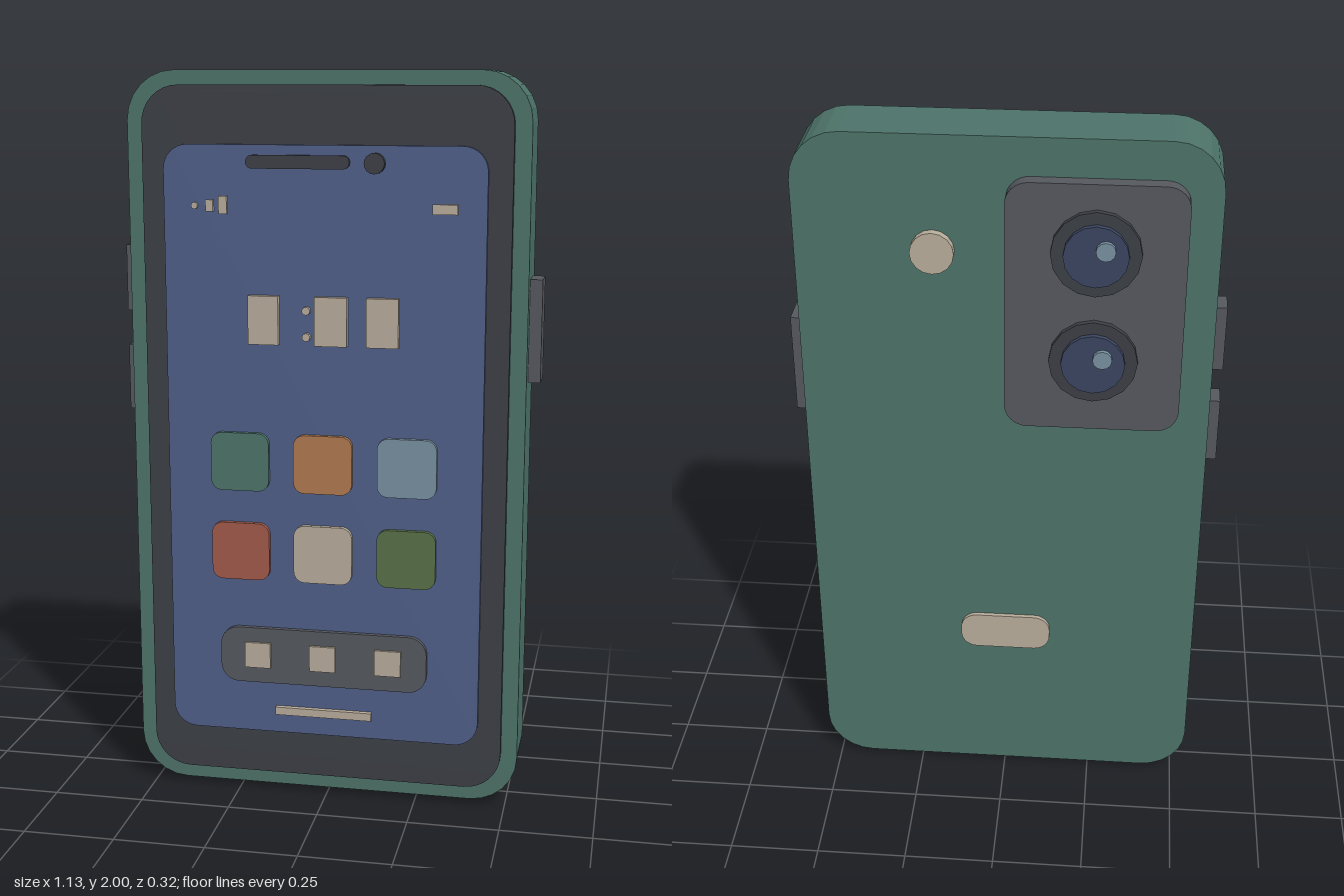
import * as THREE from 'three';

const C = {
  body: 0x4d7369, dark: 0x3c3f46, grey: 0x55585e, screen: 0x505f88, cream: 0xb8ad9c,
  orange: 0xb07a50, blue: 0x7890a0, red: 0xa05a4a, green: 0x587048, lens: 0x3a4560, black: 0x24262a,
};
const mats = {};
const mat = (c) => (mats[c] ??= new THREE.MeshStandardMaterial({ color: C[c], flatShading: true }));

export function createModel() {
  const phone = new THREE.Group();
  phone.name = 'phone';

  const add = (name, geo, color, x, y, z) => {
    const m = new THREE.Mesh(geo, mat(color));
    m.name = name;
    m.position.set(x, y, z);
    phone.add(m);
    return m;
  };

  // Rounded plate from bounds x0..x1, y0..y1, z0..z1
  const plate = (name, color, [x0, x1], [y0, y1], [z0, z1], r, seg = 4) => {
    const s = new THREE.Shape();
    s.moveTo(x0 + r, y0).lineTo(x1 - r, y0);
    s.absarc(x1 - r, y0 + r, r, -Math.PI / 2, 0);
    s.absarc(x1 - r, y1 - r, r, 0, Math.PI / 2);
    s.absarc(x0 + r, y1 - r, r, Math.PI / 2, Math.PI);
    s.absarc(x0 + r, y0 + r, r, Math.PI, Math.PI * 1.5);
    const geo = new THREE.ExtrudeGeometry(s, { depth: z1 - z0, bevelEnabled: false, curveSegments: seg });
    return add(name, geo, color, 0, 0, z0);
  };
  // Plain box from bounds
  const box = (name, color, [x0, x1], [y0, y1], [z0, z1]) =>
    add(name, new THREE.BoxGeometry(x1 - x0, y1 - y0, z1 - z0), color, (x0 + x1) / 2, (y0 + y1) / 2, (z0 + z1) / 2);
  // Disc whose axis runs along z
  const disc = (name, color, x, y, [z0, z1], r, seg = 16) => {
    const geo = new THREE.CylinderGeometry(r, r, z1 - z0, seg).rotateX(Math.PI / 2);
    return add(name, geo, color, x, y, (z0 + z1) / 2);
  };

  // Body, bezel and screen
  plate('body', 'body', [-0.538, 0.532], [0.02, 2], [-0.08, 0.102], 0.13, 3);
  plate('bezel', 'dark', [-0.493, 0.488], [0.063, 1.962], [0.1, 0.122], 0.1);
  plate('screen', 'screen', [-0.432, 0.425], [0.19, 1.81], [0.12, 0.135], 0.065);

  // Earpiece and front camera
  plate('earpiece', 'dark', [-0.207, 0.068], [1.749, 1.784], [0.13, 0.147], 0.017);
  disc('frontCamera', 'dark', 0.134, 1.765, [0.13, 0.154], 0.027);

  // Status bar
  disc('signalDot', 'cream', -0.347, 1.651, [0.132, 0.145], 0.009, 10);
  box('signalBar', 'cream', [-0.316, -0.296], [1.636, 1.667], [0.132, 0.146]);
  box('signalBar', 'cream', [-0.281, -0.259], [1.63, 1.677], [0.132, 0.146]);
  box('battery', 'cream', [0.285, 0.35], [1.637, 1.663], [0.132, 0.146]);

  // Clock blocks and colon
  for (const x of [[-0.203, -0.121], [-0.024, 0.063], [0.115, 0.2]])
    box('clockDigit', 'cream', x, [1.288, 1.418], [0.132, 0.154]);
  for (const y of [1.38, 1.31]) disc('clockColon', 'cream', -0.047, y, [0.132, 0.15], 0.011, 10);

  // App icons, three columns by two rows
  ['body', 'orange', 'blue', 'red', 'cream', 'green'].forEach((color, i) => {
    const x = -0.231 + (i % 3) * 0.228;
    const y = i < 3 ? 0.965 : 0.714;
    plate('appIcon', color, [x - 0.08, x + 0.08], [y - 0.08, y + 0.08], [0.13, 0.149], 0.03);
  });

  // Dock with shortcuts, and home bar
  plate('dock', 'grey', [-0.29, 0.284], [0.338, 0.496], [0.13, 0.149], 0.05);
  for (const x of [-0.185, -0.003, 0.178])
    box('dockShortcut', 'cream', [x - 0.036, x + 0.036], [0.383, 0.455], [0.145, 0.157]);
  box('homeBar', 'cream', [-0.137, 0.132], [0.246, 0.268], [0.132, 0.149]);

  // Side buttons
  box('powerButton', 'grey', [0.52, 0.565], [1.193, 1.466], [-0.033, 0.056]);
  for (const y of [[1.355, 1.535], [1.08, 1.26]])
    box('volumeButton', 'grey', [-0.568, -0.525], y, [-0.023, 0.045]);

  // Rear camera module with two lenses
  plate('cameraModule', 'grey', [-0.457, -0.003], [1.217, 1.9], [-0.118, -0.075], 0.06);
  for (const y of [1.721, 1.422]) {
    disc('lensRing', 'dark', -0.231, y, [-0.133, -0.115], 0.114);
    disc('lensGlass', 'lens', -0.231, y, [-0.147, -0.13], 0.082);
    disc('lensGlint', 'blue', -0.255, y + 0.02, [-0.159, -0.145], 0.025, 12);
  }

  // Flash and rear badge plate
  disc('flash', 'cream', 0.18, 1.695, [-0.102, -0.078], 0.056);
  plate('backPlate', 'cream', [-0.13, 0.123], [0.452, 0.563], [-0.092, -0.075], 0.045);

  // Charging port and speaker holes on the bottom edge
  box('chargingPort', 'black', [-0.105, 0.1], [0.004, 0.03], [-0.013, 0.043]);
  for (const x of [-0.345, -0.28, 0.273, 0.338])
    add('speakerHole', new THREE.CylinderGeometry(0.016, 0.016, 0.026, 10), 'black', x, 0.017, 0.015);

  return phone;
}
